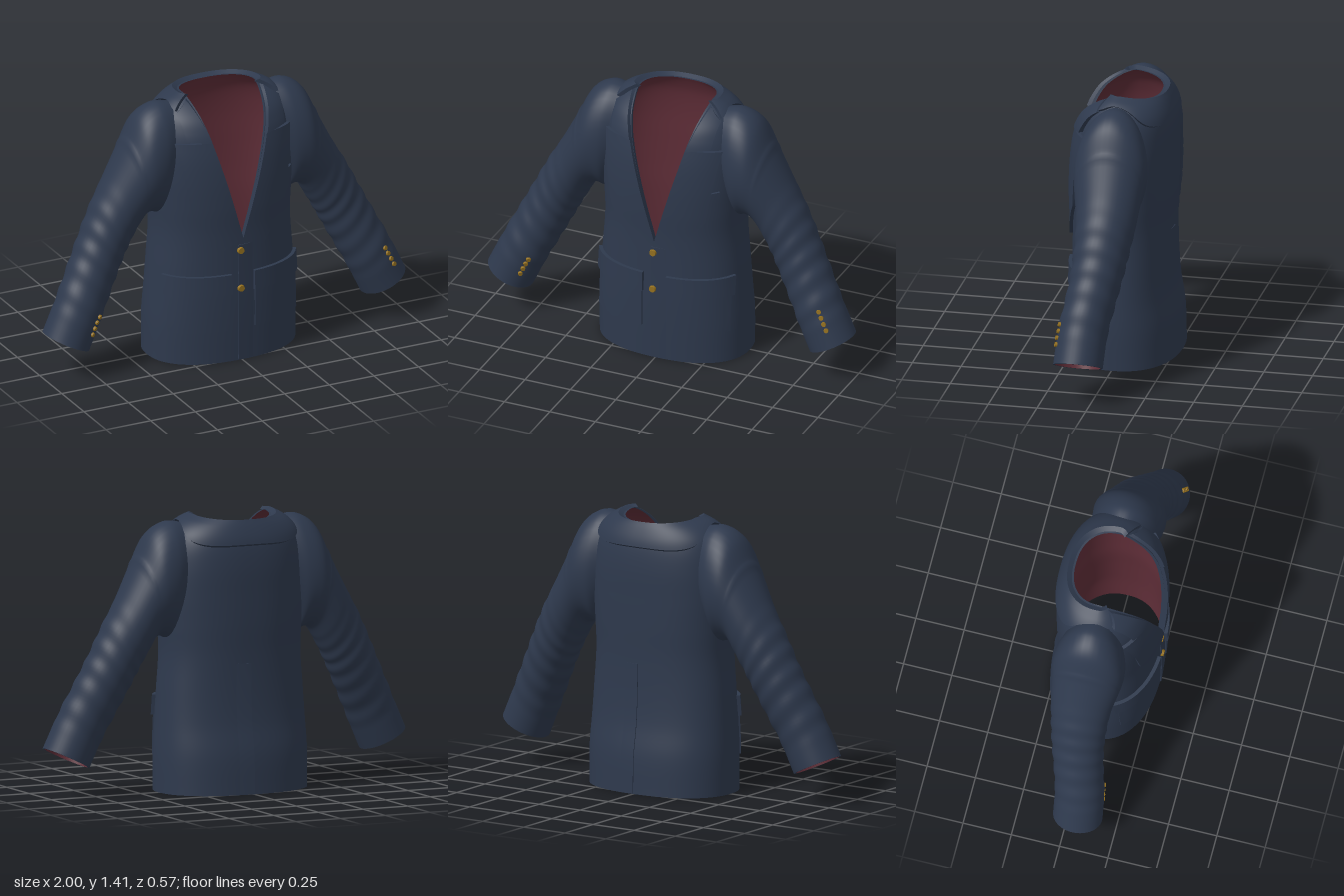
import * as THREE from 'three';
import { mergeGeometries, mergeVertices } from 'three/addons/utils/BufferGeometryUtils.js';

const mat = (name, color, side) => Object.assign(new THREE.MeshStandardMaterial({ color, side }), { name });
const lerp = THREE.MathUtils.lerp, N = 2.3, TOP = 1.395;

// Smooth lookup through a few keyed rows: [key, value, value, ...]
function keyed(rows) {
  const n = rows[0].length - 1;
  const c = new THREE.CubicInterpolant(rows.map(r => r[0]), rows.flatMap(r => r.slice(1)), n, new Float32Array(n));
  return k => Array.from(c.evaluate(k));
}

// Surface grid from fn(u, v) -> [x, y, z]
function grid(fn, nu, nv, flip = false) {
  const pos = [], idx = [];
  for (let j = 0; j <= nv; j++) for (let i = 0; i <= nu; i++) pos.push(...fn(i / nu, j / nv));
  for (let j = 0; j < nv; j++) for (let i = 0; i < nu; i++) {
    const a = j * (nu + 1) + i, b = a + 1, c = a + nu + 1, d = c + 1;
    if (flip) idx.push(a, d, b, a, c, d); else idx.push(a, b, d, a, d, c);
  }
  let g = new THREE.BufferGeometry();
  g.setAttribute('position', new THREE.Float32BufferAttribute(pos, 3));
  g.setIndex(idx);
  g = mergeVertices(g, 1e-5);
  g.computeVertexNormals();
  return g;
}

// Raised cloth: face at offset t1, with its four edges turned down to t0
function shell(fn, nu, nv, t0, t1, flip = false) {
  const edge = (e, n) => grid((s, w) => fn(...e(s), lerp(t0, t1, w)), n, 1);
  return mergeGeometries([
    grid((u, v) => fn(u, v, t1), nu, nv, flip),
    edge(s => [s, 0], nu), edge(s => [s, 1], nu), edge(s => [0, s], nv), edge(s => [1, s], nv),
  ]);
}

// Torso rings: height, half width, front depth, back depth
const ring = keyed([
  [0, .40, .27, .28], [.2, .40, .273, .273], [.35, .392, .273, .25], [.5, .382, .27, .24],
  [.7, .368, .268, .238], [.85, .374, .272, .243], [1, .38, .268, .245], [1.15, .372, .25, .245],
  [1.25, .352, .222, .235], [1.32, .318, .178, .218], [1.37, .262, .115, .2], [TOP, .212, .07, .187],
]);
const opening = y => Math.max(0, (y - .66) * .27);
const pw = (c, p) => Math.sign(c) * Math.abs(c) ** p;

// Point on the torso at an angle (90 degrees is the front)
function torso(phi, y, off = 0) {
  const [a, f, b] = ring(y), s = Math.sin(phi);
  const dip = .025 * Math.max(0, -s) * THREE.MathUtils.smoothstep(y, 1.25, TOP);
  return [(a + off) * pw(Math.cos(phi), 2 / N), y - dip, ((s > 0 ? f : b) + off) * pw(s, 2 / N)];
}
function torsoGrid(u, v, off) {
  const y = TOP * (1 - (1 - v) ** 1.6), a = ring(y)[0] + off;
  const p = Math.acos(Math.min(1, opening(y) / a) ** (N / 2));
  return torso(lerp(p, -Math.PI - p, u), y, off);
}

// Point lying on the front (side 1) or back (side -1) of the torso
function onTorso(x, y, off, side = 1) {
  const [a, f, b] = ring(y), d = side > 0 ? f : b;
  const q = Math.min(.995, Math.abs(x) / a), z = (1 - q ** N) ** (1 / N);
  const nx = q ** (N - 1) / a, nz = z ** (N - 1) / d, l = Math.hypot(nx, nz);
  return [Math.sign(x) * (q * a + off * nx / l), y, side * (z * d + off * nz / l)];
}
function along(line, v) {
  const k = Math.min(line.length - 2, Math.floor(v * (line.length - 1))), w = v * (line.length - 1) - k;
  return [lerp(line[k][0], line[k + 1][0], w), lerp(line[k][1], line[k + 1][1], w)];
}
// Cloth patch between an inner and an outer edge line
function patch(inner, outer, t, m = 1, side = 1, taper = false) {
  return shell((u, v, off) => {
    const p = along(inner, v), q = along(outer, v);
    return onTorso(m * lerp(p[0], q[0], u), lerp(p[1], q[1], v === v ? u : 0), taper ? off * (1 - u) : off, side);
  }, 14, 20, -.004, t, m * side < 0);
}
const box = (x0, x1, y0, y1) => [[[x0, y0], [x0, y1]], [[x1, y0], [x1, y1]]];

// Sleeve sections: index, upper edge x y, lower edge x y, depth centre, depth radius
const section = keyed([
  [0, .26, 1.36, .345, .82, 0, .15], [1, .36, 1.372, .365, .785, 0, .178], [2, .455, 1.315, .40, .795, 0, .185],
  [3, .53, 1.17, .44, .785, 0, .172], [4, .62, 1.0, .475, .73, -.005, .155], [5, .70, .86, .525, .64, 0, .142],
  [6, .77, .72, .57, .55, .01, .133], [7, .84, .58, .63, .43, .03, .127], [8, .92, .42, .70, .29, .055, .125],
  [9, 1.0, .25, .77, .14, .065, .125],
]);
function sleeve(t, phi, scale = 1) {
  const [ox, oy, ix, iy, zc, rz] = section(t), c = Math.cos(phi);
  const folds = .022 * Math.sin(t * 9 + 1.6 * c + Math.sin(phi)) * THREE.MathUtils.smoothstep(t, 3.6, 5.5)
    * (1 - THREE.MathUtils.smoothstep(t, 7.8, 8.6));
  const seam = .035 * Math.max(0, c) * Math.exp(-(((t - 2.9) / .09) ** 2));
  const r = scale * (1 + folds + seam);
  let x = (ox + ix) / 2 + r * c * (ox - ix) / 2, z = zc + r * rz * Math.sin(phi);
  const y = (oy + iy) / 2 + r * c * (oy - iy) / 2;
  // Keep the shoulder end tucked just under the torso cloth
  if (y < TOP) {
    const [a, f, b] = ring(y);
    const d = (Math.abs(x / a) ** N + Math.abs(z / (z > 0 ? f : b)) ** N) ** (1 / N);
    if (d < .985) { x *= .985 / d; z *= .985 / d; }
  }
  return [x, y, z];
}

export function createModel() {
  const model = new THREE.Group();
  model.name = 'jacket';
  const cloth = mat('navy cloth', 0x2e394d, THREE.DoubleSide);
  const lining = mat('maroon lining', 0x5e2d37, THREE.FrontSide);
  const brass = mat('brass', 0x94701f, THREE.FrontSide);
  const add = (name, geo, m) => {
    const mesh = new THREE.Mesh(geo, m);
    mesh.name = name;
    model.add(mesh);
    return mesh;
  };
  const button = (name, p, dir, r) => {
    const b = add(name, new THREE.CylinderGeometry(r * .85, r, .014, 16), brass);
    b.position.set(...p);
    b.quaternion.setFromUnitVectors(new THREE.Vector3(0, 1, 0), dir.normalize());
  };

  // Torso and its lining
  add('torso', shell(torsoGrid, 96, 70, -.016, 0), cloth);
  add('torsoLining', grid((u, v) => torsoGrid(u, v, -.016), 96, 70, true), lining);

  // Collar around the back of the neck
  const low = keyed([[0, 1.25], [35, 1.253], [52, 1.275], [75, 1.345], [95, 1.362], [118, 1.335]]);
  add('backCollar', shell((u, v, off) => {
    const deg = lerp(28, -208, u), p = torso(deg * Math.PI / 180, lerp(low(Math.abs(deg + 90))[0], TOP, v), off);
    p[1] += Math.max(0, off) * .7;
    return p;
  }, 80, 12, -.006, .018), cloth);

  for (const m of [1, -1]) {
    const side = m > 0 ? 'left' : 'right';
    // Lapel, collar end and hip pocket
    add(side + 'Lapel', patch([[0, .67], [.06, .885], [.15, 1.205]], [[.11, .615], [.25, .81], [.31, 1.195]], .017, m), cloth);
    add(side + 'CollarEnd', patch([[.148, 1.2], [.205, 1.385]], [[.262, 1.215], [.272, 1.335]], .023, m), cloth);
    add(side + 'Pocket', patch(...box(.07, .355, .175, .46), .008, m), cloth);
    add(side + 'PocketFlap', patch(...box(.063, .362, .375, .48), .018, m), cloth);

    // Sleeve, cuff edge and sleeve lining
    const s = (t, u, k) => { const p = sleeve(t, u * Math.PI * 2, k); p[0] *= m; return p; };
    add(side + 'Sleeve', grid((u, v) => s(v * 9, u, 1), 40, 100, m < 0), cloth);
    add(side + 'CuffEdge', grid((u, v) => s(9, u, lerp(1, .92, v)), 40, 1, m < 0), cloth);
    add(side + 'SleeveLining', grid((u, v) => s(lerp(2.5, 9, v), u, .92), 40, 50, m > 0), lining);

    // Cuff buttons
    for (let i = 0; i < 4; i++) {
      const t = 7.9 + i * .19, phi = m > 0 ? 1.1 : 2.1;
      const p = s(t, phi / (2 * Math.PI), 1.02), [ox, oy, ix, iy, zc] = section(t);
      button(side + 'CuffButton', p, new THREE.Vector3(p[0] - m * (ox + ix) / 2, p[1] - (oy + iy) / 2, p[2] - zc), .013);
    }
  }

  // Chest pocket welt, front overlap and back vent
  add('chestPocket', patch([[.08, .905], [.08, .945]], [[.31, .935], [.31, .975]], .012), cloth);
  add('frontOverlap', patch([[-.022, .004], [-.022, .63]], [[.06, .004], [.06, .63]], .006, 1, 1, true), cloth);
  add('backVent', patch([[0, .004], [0, .66]], [[.08, .004], [.08, .66]], .005, 1, -1, true), cloth);

  // Front buttons
  for (const y of [.6, .395]) button('frontButton', onTorso(-.01, y, .009), new THREE.Vector3(0, 0, 1), .019);
  return model;
}
